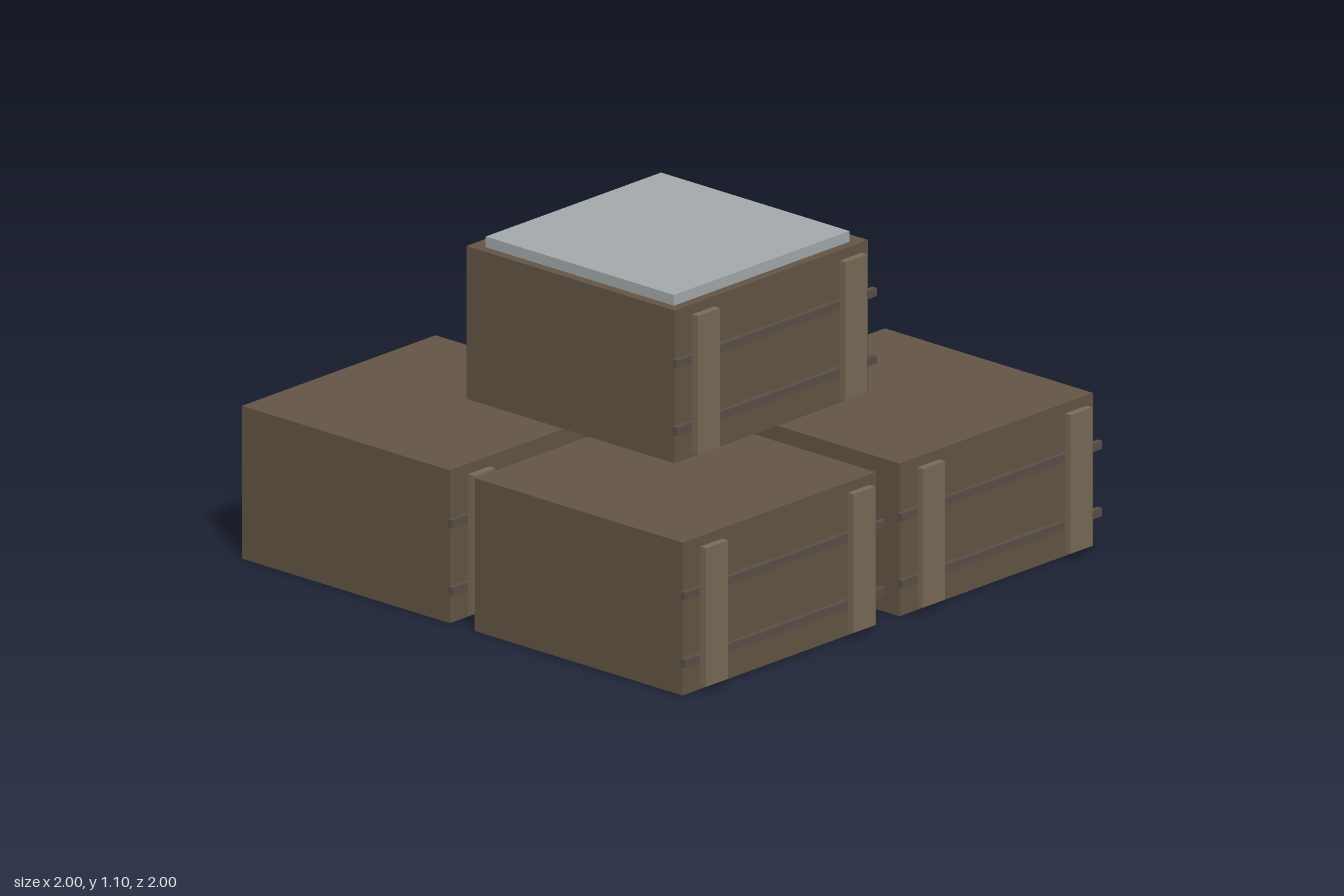
import * as THREE from 'three';

const W = 0.927, H = 0.527, D = 0.919;

const wood = new THREE.MeshStandardMaterial({ color: 0x655646 });
const slatWood = new THREE.MeshStandardMaterial({ color: 0x7b6d59 });
const railMetal = new THREE.MeshStandardMaterial({ color: 0x5a5048 });
const lidMetal = new THREE.MeshStandardMaterial({ color: 0xa6adaf });

function box(name, parent, material, [w, h, d], [x, y, z]) {
  const mesh = new THREE.Mesh(new THREE.BoxGeometry(w, h, d), material);
  mesh.name = name;
  mesh.position.set(x, y, z);
  parent.add(mesh);
  return mesh;
}

// One crate, standing on its own y = 0, with rails and slats on the front
function createCrate(name) {
  const crate = new THREE.Group();
  crate.name = name;
  box('crateBody', crate, wood, [W, H, D], [0, H / 2, 0]);

  // Horizontal rails, just clear of the front face
  for (const y of [0.118, 0.35]) {
    box('rail', crate, railMetal, [0.958, 0.028, 0.02], [0, y, D / 2 + 0.016]);
  }
  // Upright slats over the rails
  for (const side of [-1, 1]) {
    box('slat', crate, slatWood, [0.104, 0.478, 0.025], [side * 0.353, 0.266, D / 2 + 0.0385]);
  }
  return crate;
}

export function createModel() {
  const model = new THREE.Group();
  model.name = 'crateStack';

  // Three crates on the ground and one resting across them
  const places = [
    ['frontRightCrate', -0.521, 0, 0.487],
    ['frontLeftCrate', 0.518, 0, 0.487],
    ['backRightCrate', -0.521, 0, -0.541],
    ['topCrate', -0.003, 0.54, -0.027],
  ];
  for (const [name, x, y, z] of places) {
    const crate = createCrate(name);
    crate.position.set(x, y, z);
    model.add(crate);
  }

  // Pale lid panel on the top crate, slightly off centre
  box('lidPanel', model, lidMetal, [0.84, 0.037, 0.832], [-0.013, 0.54 + H + 0.0185, -0.016]);

  return model;
}
